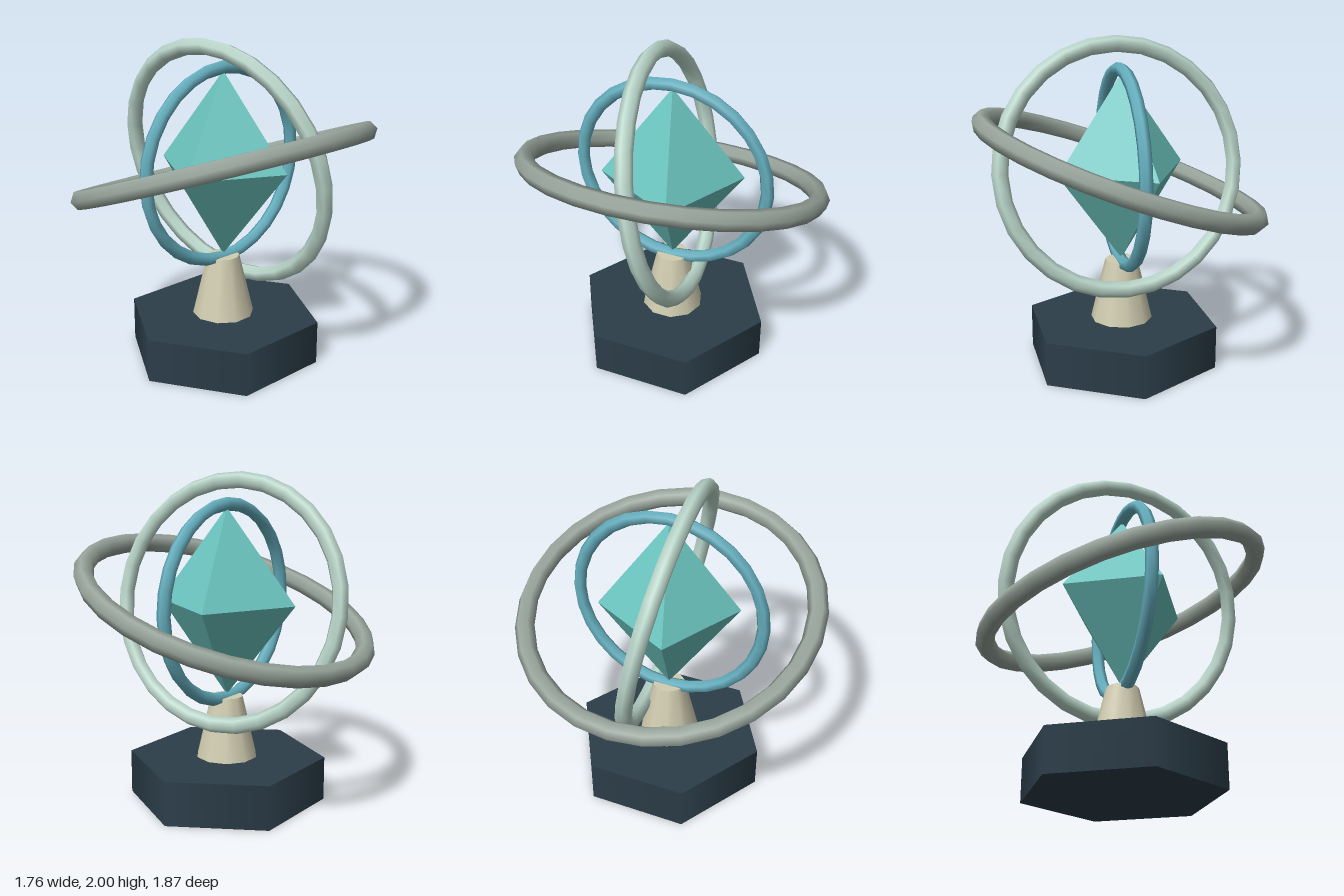
import * as THREE from 'three';

const CENTER_Y = 1.227;

function part(name, geometry, color, y, flatShading = false) {
  const mesh = new THREE.Mesh(geometry, new THREE.MeshStandardMaterial({ color, flatShading }));
  mesh.name = name;
  mesh.position.y = y;
  return mesh;
}

// Hexagonal-section ring centred on the crystal
function ring(name, radius, tube, color, rotation) {
  const mesh = part(name, new THREE.TorusGeometry(radius, tube, 6, 28), color, CENTER_Y);
  mesh.rotation.set(...rotation);
  return mesh;
}

export function createModel() {
  const model = new THREE.Group();
  model.name = 'armillaryCrystal';

  // Hexagonal base and tapered pedestal
  model.add(part('base', new THREE.CylinderGeometry(0.605, 0.605, 0.27, 6), 0x2c3e4a, 0.135));
  model.add(part('pedestal', new THREE.CylinderGeometry(0.1, 0.19, 0.38, 10), 0xd0ccb0, 0.46));

  // Stretched octahedral crystal
  const crystal = part('crystal', new THREE.OctahedronGeometry(0.427), 0x6cc5c0, CENTER_Y, true);
  crystal.scale.y = 0.57 / 0.427;
  crystal.rotation.y = 0.3;
  model.add(crystal);

  // Three nested rings
  model.add(ring('innerRing', 0.59, 0.04, 0x66b0c0, [0, Math.PI / 2, 0]));
  model.add(ring('middleRing', 0.74, 0.05, 0xbcd8cc, [0.2, 0.1, 0]));
  model.add(ring('outerRing', 0.875, 0.06, 0x98a59c, [Math.PI / 2, 0.35, 0]));

  return model;
}
